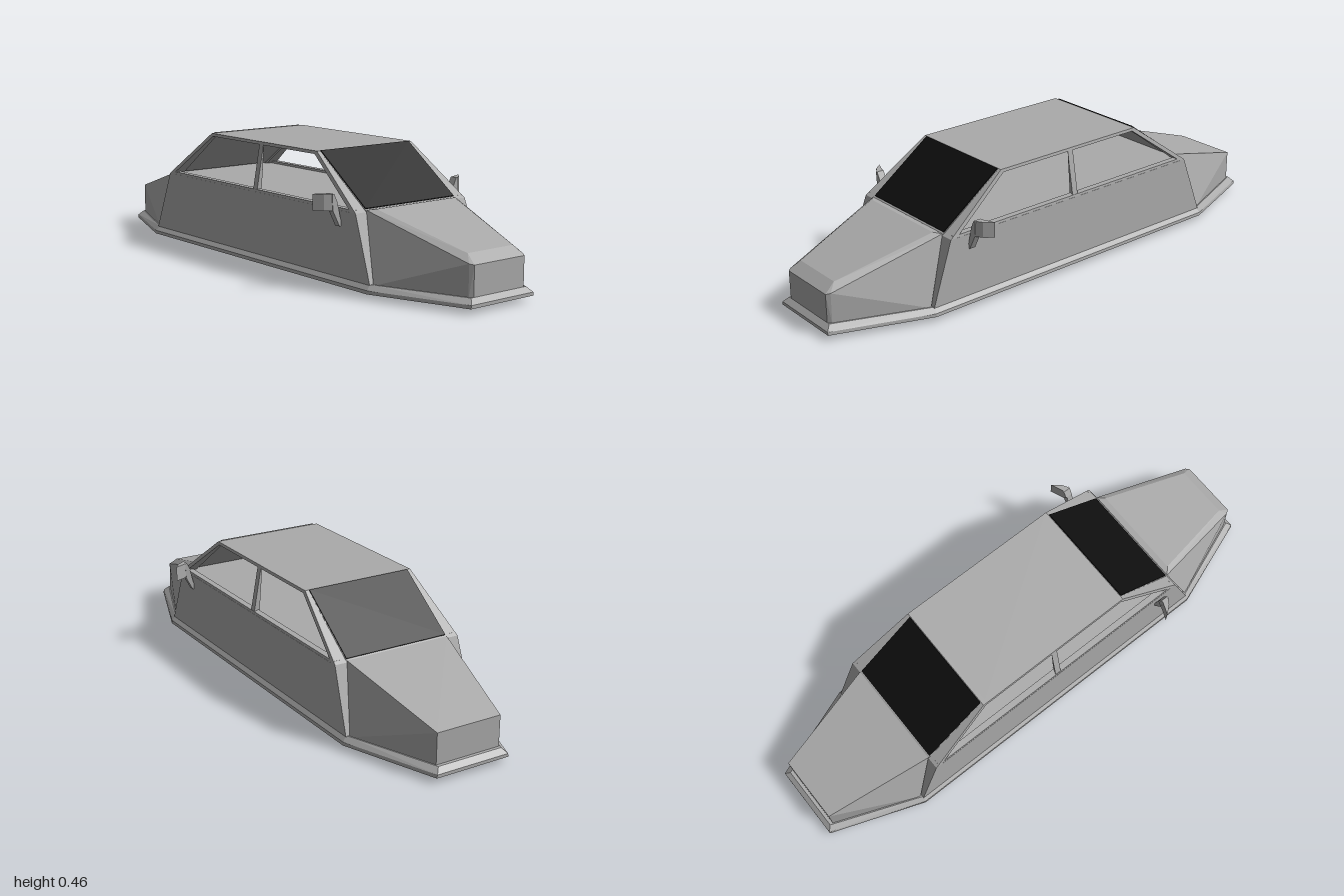
import * as THREE from 'three';
import { ConvexGeometry } from 'three/addons/geometries/ConvexGeometry.js';

const paint = new THREE.MeshStandardMaterial({ color: 0xaaaaaa });
paint.name = 'grey paint';
const tint = new THREE.MeshStandardMaterial({ color: 0x0e0e0e });
tint.name = 'black glass';

// Convex faceted solid from its corner points
function solid(name, points, material = paint) {
  const mesh = new THREE.Mesh(new ConvexGeometry(points.map((p) => new THREE.Vector3(...p))), material);
  mesh.name = name;
  return mesh;
}

// Repeat corner points on the other side (axis 0) or the other end (axis 2)
function mirror(points, axis = 0) {
  return points.concat(points.map((p) => p.map((v, i) => (i === axis ? -v : v))));
}

export function createModel() {
  const car = new THREE.Group();
  car.name = 'car';

  // Six-sided skirt: tapered underside, vertical rim, bevelled top
  car.add(solid('skirt', mirror(mirror([
    [0.08, 0, 0.86], [0.15, 0, 0.65],
    [0.145, 0.02, 1], [0.274, 0.02, 0.65],
    [0.143, 0.032, 1], [0.273, 0.032, 0.65],
    [0.127, 0.05, 0.982], [0.258, 0.05, 0.645],
  ]), 2)));

  // Middle body with sloping ends
  car.add(solid('body', mirror(mirror([
    [0.262, 0.048, 0.65], [0.254, 0.275, 0.567], [0.207, 0.275, 0.567],
  ]), 2)));

  // Bonnet with raised panel and chamfered nose
  car.add(solid('bonnet', mirror([
    [0.25, 0.046, 0.655], [0.207, 0.282, 0.567],
    [0.127, 0.046, 0.97], [0.125, 0.158, 0.968],
    [0.115, 0.046, 0.982], [0.115, 0.155, 0.982],
    [0.182, 0.286, 0.59], [0.104, 0.185, 0.94],
  ])));

  // Plain tail
  car.add(solid('tail', mirror([
    [0.25, 0.046, -0.655], [0.207, 0.282, -0.567],
    [0.127, 0.046, -0.97], [0.127, 0.163, -0.97],
  ])));

  car.add(solid('roof', mirror(mirror([
    [0.22, 0.455, 0.32], [0.222, 0.444, 0.32],
  ]), 2)));

  for (const e of [1, -1]) {
    const end = e > 0 ? 'front' : 'rear';
    // Sloping screen panel between roof and body
    car.add(solid(end + 'ScreenPanel', mirror([
      [0.207, 0.455, 0.32 * e], [0.207, 0.455, 0.305 * e],
      [0.207, 0.278, 0.567 * e], [0.207, 0.278, 0.552 * e],
    ])));
    // Thin glass lying on the panel
    car.add(solid(end + 'Glass', mirror([
      [0.205, 0.454, 0.322 * e], [0.205, 0.457, 0.324 * e],
      [0.205, 0.284, 0.559 * e], [0.205, 0.287, 0.561 * e],
    ]), tint));
  }

  for (const s of [1, -1]) {
    const side = s > 0 ? 'left' : 'right';
    const part = (name, points) =>
      car.add(solid(side + name, points.map(([x, y, z]) => [x * s, y, z])));

    // Corner pillars, wider at the bottom
    for (const e of [1, -1]) {
      part(e > 0 ? 'FrontPillar' : 'RearPillar', [
        [0.206, 0.455, 0.32 * e], [0.22, 0.455, 0.32 * e],
        [0.206, 0.455, 0.295 * e], [0.22, 0.455, 0.295 * e],
        [0.206, 0.275, 0.567 * e], [0.254, 0.275, 0.567 * e],
        [0.206, 0.275, 0.542 * e], [0.254, 0.275, 0.542 * e],
      ]);
    }

    // Three-sided centre pillar leaning inward
    part('CentrePillar', [
      [0.22, 0.45, 0.012], [0.22, 0.45, -0.012], [0.208, 0.45, 0],
      [0.252, 0.275, 0.012], [0.252, 0.275, -0.012], [0.222, 0.275, 0],
    ]);

    // Window sill
    part('Sill', [0.555, -0.555].flatMap((z) => [
      [0.254, 0.27, z], [0.252, 0.284, z], [0.228, 0.284, z], [0.228, 0.27, z],
    ]));

    // Door mirror: two-piece bent arm and wedge head
    const slab = (outline, z0, z1) =>
      outline.flatMap(([x, y]) => [[x, y, z0], [x, y, z1]]);
    part('MirrorArm', slab([[0.25, 0.22], [0.261, 0.222], [0.271, 0.307], [0.29, 0.278]], 0.47, 0.493));
    part('MirrorNeck', slab([[0.271, 0.307], [0.29, 0.278], [0.293, 0.335], [0.285, 0.335]], 0.465, 0.493));
    part('MirrorHead', [0.278, 0.335].flatMap((y) => [
      [0.288, y, 0.493], [0.315, y, 0.477], [0.34, y, 0.446], [0.288, y, 0.467],
    ]));
  }
  return car;
}
